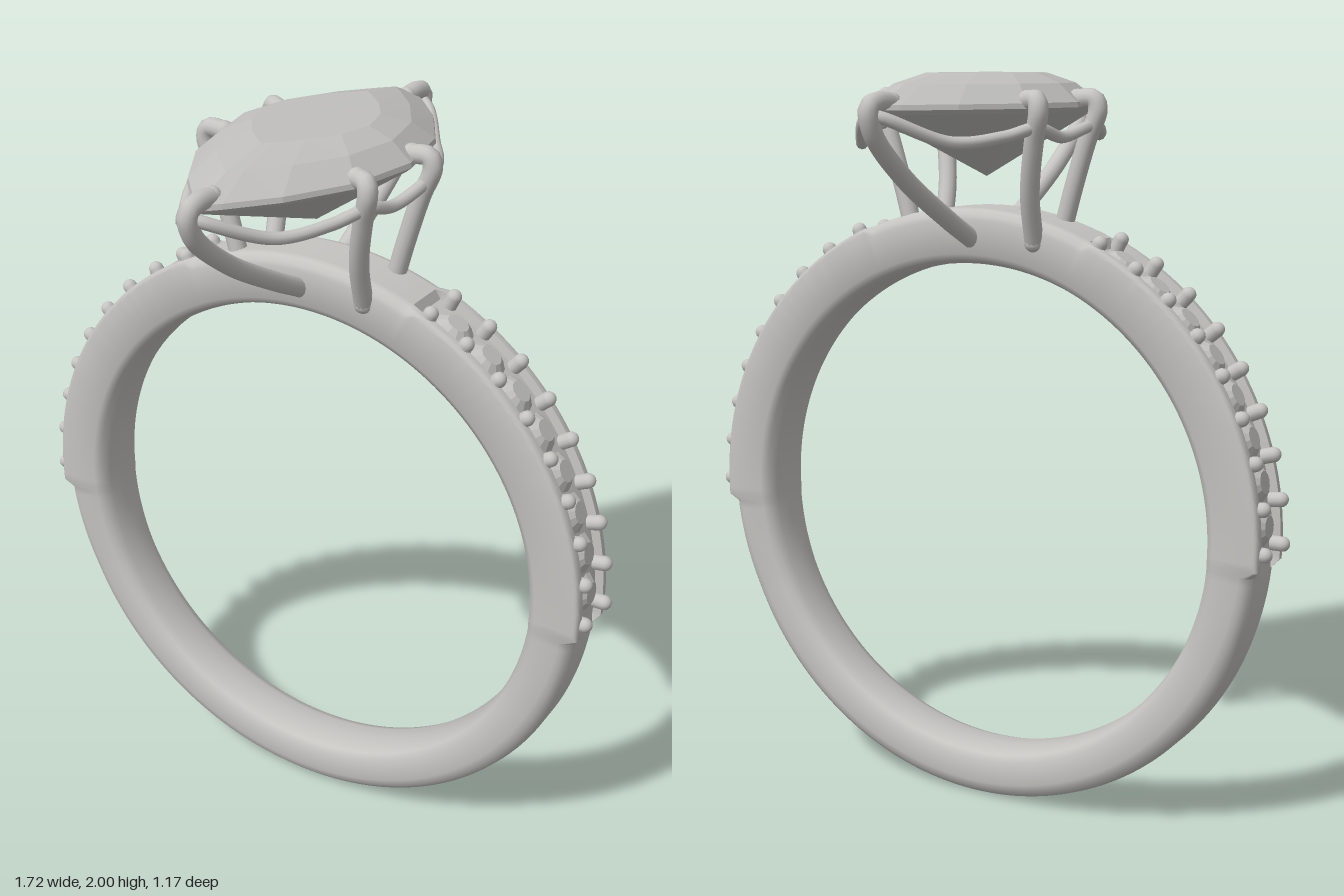
import * as THREE from 'three';
import { toCreasedNormals } from 'three/addons/utils/BufferGeometryUtils.js';

const CY = 0.82; // height of the ring's centre
const RAD = Math.PI / 180;

function gridGeometry(points, rows, cols, wrapRows) {
  const index = [];
  for (let i = 0; i < (wrapRows ? rows : rows - 1); i++) {
    for (let j = 0; j < cols; j++) {
      const i2 = (i + 1) % rows, j2 = (j + 1) % cols;
      const a = i * cols + j, b = i * cols + j2, c = i2 * cols + j, d = i2 * cols + j2;
      index.push(a, b, c, b, d, c);
    }
  }
  const g = new THREE.BufferGeometry();
  g.setAttribute('position', new THREE.Float32BufferAttribute(points, 3));
  g.setIndex(index);
  return g;
}

// Band: a cross-section swept round the finger, with a groove along each shoulder
function bandGeometry() {
  const steps = 240, pts = [];
  let cols = 0;
  for (let i = 0; i < steps; i++) {
    const t = (i / steps) * Math.PI * 2;
    const elevation = Math.atan2(Math.sin(t), Math.abs(Math.cos(t))) / RAD;
    const set = elevation > -3.5 && elevation < 66;
    const low = elevation <= -3.5;
    const low01 = low ? Math.min(1, (-3.5 - elevation) / 20) : 0;
    const ri = 0.68;
    const ro = set ? 0.832 : low ? 0.815 + 0.005 * low01 : 0.83;
    const w = low ? 0.09 - 0.007 * low01 : 0.093;
    const c = set ? 0.012 : low ? 0.03 + 0.015 * low01 : 0.03;
    const groove = set ? 0.022 : 0;
    const gz = Math.min(0.066, w - c - 0.004);
    const half = [
      [ri + 0.002, 0.55 * w], [ri + 0.012, 0.86 * w], [ri + 0.03, w],
      [ro - c, w], [ro - 0.55 * c, w - 0.12 * c], [ro - 0.12 * c, w - 0.55 * c],
      [ro, w - c], [ro, gz], [ro - groove, gz - 0.004],
    ];
    const section = [[ri, 0], ...half, [ro - groove, 0],
      ...half.slice().reverse().map(([r, z]) => [r, -z])];
    cols = section.length;
    for (const [r, z] of section) pts.push(Math.cos(t) * r, CY + Math.sin(t) * r, z);
  }
  return toCreasedNormals(gridGeometry(pts, steps, cols, true), 0.7);
}

// Centre stone: pointed oval outlines stacked from the tip to the table
function marquiseGeometry() {
  const levels = [ // half length, half width, height
    [0.001, 0.001, 1.73], [0.5, 0.255, 1.9], [0.52, 0.27, 1.912], [0.515, 0.267, 1.925],
    [0.4, 0.215, 1.972], [0.25, 0.15, 1.998], [0.001, 0.001, 2.0],
  ];
  const n = 16, pts = [];
  for (const [len, wid, y] of levels) {
    for (let j = 0; j < n; j++) {
      const u = (j / n) * Math.PI * 2, s = Math.sin(u);
      pts.push(wid * s * Math.abs(s), y, len * Math.cos(u));
    }
  }
  const g = gridGeometry(pts, levels.length, n, false).toNonIndexed();
  g.computeVertexNormals();
  return g;
}

const curve = (pts, closed = false) =>
  new THREE.CatmullRomCurve3(pts.map((p) => new THREE.Vector3(...p)), closed, 'centripetal');

export function createModel() {
  const metal = new THREE.MeshStandardMaterial({ color: 0xc6c4c1 });
  metal.name = 'polished metal';
  const gem = new THREE.MeshStandardMaterial({ color: 0xc0bfbd });
  gem.name = 'clear stone';

  const model = new THREE.Group();
  model.name = 'ring';
  const add = (parent, name, geometry, material) => {
    const mesh = new THREE.Mesh(geometry, material);
    mesh.name = name;
    parent.add(mesh);
    return mesh;
  };

  add(model, 'band', bandGeometry(), metal);
  add(model, 'centreStone', marquiseGeometry(), gem);

  // Small stones and gripping beads along both shoulders
  const stoneGeo = new THREE.CylinderGeometry(0.03, 0.053, 0.018, 12).toNonIndexed();
  stoneGeo.computeVertexNormals();
  const beadGeo = new THREE.CapsuleGeometry(0.02, 0.03, 6, 12);
  const place = (mesh, angle, r, z) => {
    mesh.position.set(Math.cos(angle) * r, CY + Math.sin(angle) * r, z);
    mesh.rotation.z = angle - Math.PI / 2;
  };
  for (const side of [1, -1]) {
    const shoulder = new THREE.Group();
    shoulder.name = side > 0 ? 'leftShoulder' : 'rightShoulder';
    model.add(shoulder);
    const angleAt = (deg) => (side > 0 ? deg * RAD : Math.PI - deg * RAD);
    for (let k = 0; k < 9; k++) {
      for (const z of [0.062, -0.062]) {
        place(add(shoulder, 'bead', beadGeo, metal), angleAt(k * 8), 0.824, z);
      }
      if (k < 8) place(add(shoulder, 'smallStone', stoneGeo, gem), angleAt(k * 8 + 4), 0.819, 0);
    }
  }

  // Claws: one end claw and two side claws, repeated by a half turn
  const claws = {
    endClaw: [[0, 1.57, 0.08], [0, 1.63, 0.2], [0, 1.75, 0.41], [0, 1.86, 0.54],
      [0, 1.918, 0.557], [0, 1.932, 0.52], [0, 1.93, 0.46]],
    sideClaw: [[0.19, 1.57, 0.085], [0.21, 1.7, 0.145], [0.245, 1.83, 0.19],
      [0.268, 1.905, 0.21], [0.262, 1.932, 0.205], [0.222, 1.932, 0.18]],
    middleClaw: [[0.2, 1.57, -0.045], [0.235, 1.7, -0.045], [0.275, 1.83, -0.045],
      [0.304, 1.905, -0.045], [0.294, 1.932, -0.045], [0.245, 1.932, -0.045]],
  };
  const tipGeo = new THREE.SphereGeometry(0.026, 14, 10);
  for (const turn of [0, Math.PI]) {
    const set = new THREE.Group();
    set.name = turn ? 'backClaws' : 'frontClaws';
    set.rotation.y = turn;
    model.add(set);
    for (const [name, pts] of Object.entries(claws)) {
      add(set, name, new THREE.TubeGeometry(curve(pts), 40, 0.025, 12), metal);
      for (const p of [pts[0], pts[pts.length - 1]]) {
        add(set, name + 'Tip', tipGeo, metal).position.set(...p);
      }
    }
  }

  // Wavy gallery wire joining the claws under the stone
  const halfRail = [[0, 1.9, 0.54], [0.13, 1.835, 0.4], [0.21, 1.845, 0.28], [0.255, 1.865, 0.195],
    [0.265, 1.84, 0.08], [0.285, 1.865, -0.045], [0.215, 1.845, -0.24], [0.125, 1.83, -0.4]];
  const rail = [...halfRail, ...halfRail.map(([x, y, z]) => [-x, y, -z])];
  add(model, 'galleryWire', new THREE.TubeGeometry(curve(rail, true), 160, 0.016, 10, true), metal);

  return model;
}
